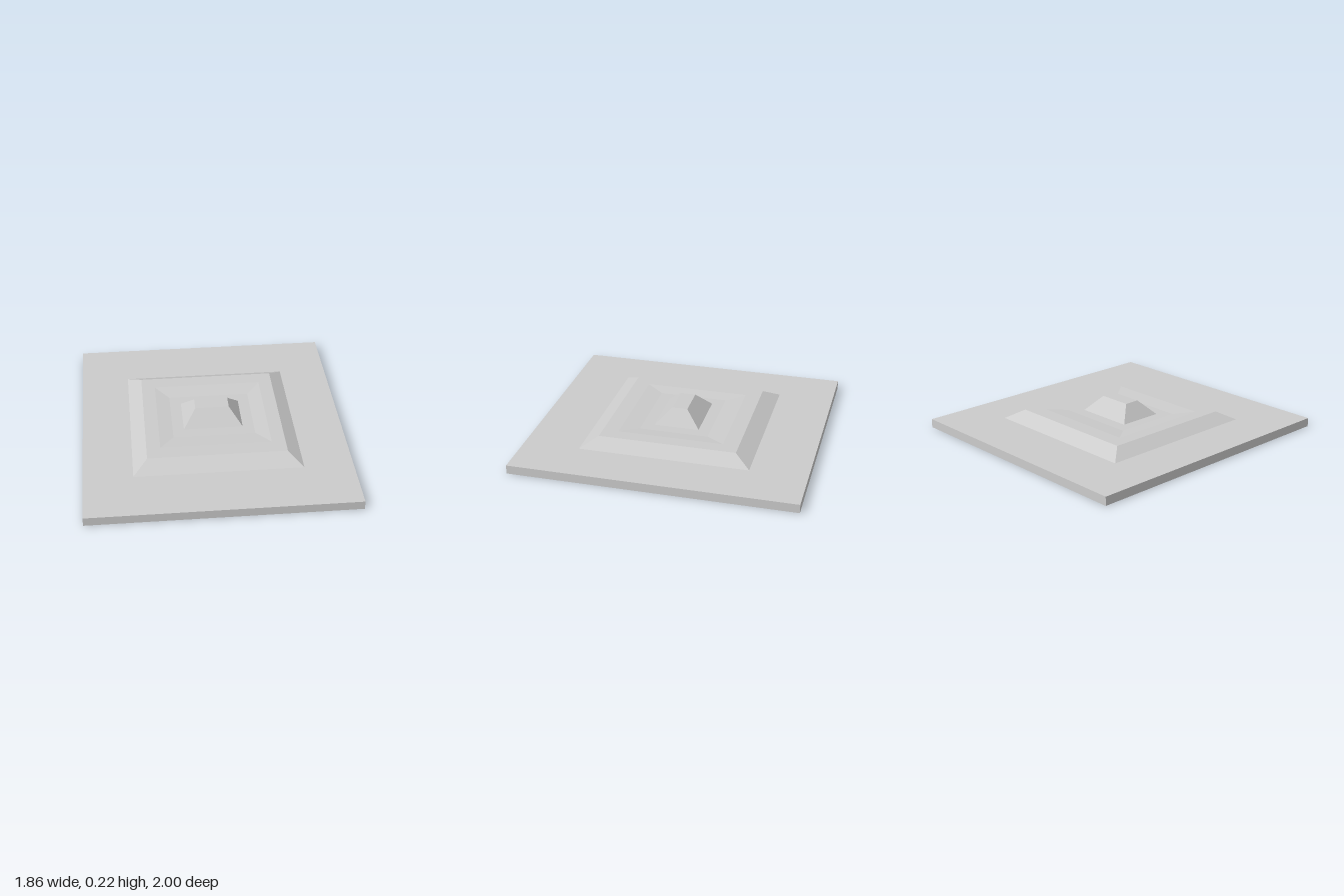
import * as THREE from 'three';

const material = new THREE.MeshStandardMaterial({ color: 0xcccccc, flatShading: true, side: THREE.DoubleSide });

// Skin through nested rectangles [halfWidth, y, halfDepth], capped on the last one
function steppedSkin(name, rings, capUp) {
  const pos = [];
  const index = [];
  for (const [w, y, d] of rings) {
    pos.push(-w, y, d, w, y, d, w, y, -d, -w, y, -d);
  }
  const quad = (a, b, c, d) => {
    if (capUp) index.push(a, b, c, a, c, d);
    else index.push(a, c, b, a, d, c);
  };
  for (let r = 0; r < rings.length - 1; r++) {
    for (let i = 0; i < 4; i++) {
      const j = (i + 1) % 4;
      quad(r * 4 + i, r * 4 + j, r * 4 + 4 + j, r * 4 + 4 + i);
    }
  }
  const e = (rings.length - 1) * 4;
  quad(e, e + 1, e + 2, e + 3);

  const indexed = new THREE.BufferGeometry();
  indexed.setAttribute('position', new THREE.Float32BufferAttribute(pos, 3));
  indexed.setIndex(index);
  const geometry = indexed.toNonIndexed();
  geometry.computeVertexNormals();
  const mesh = new THREE.Mesh(geometry, material);
  mesh.name = name;
  return mesh;
}

export function createModel() {
  const group = new THREE.Group();
  group.name = 'steppedPanel';

  // Slab sides, raised plateau, shallow basin and central block
  group.add(steppedSkin('upperSurface', [
    [0.93, 0, 1],
    [0.93, 0.062, 1],
    [0.587, 0.062, 0.6],
    [0.487, 0.125, 0.487],
    [0.39, 0.125, 0.375],
    [0.29, 0.114, 0.245],
    [0.21, 0.114, 0.16],
    [0.12, 0.22, 0.055],
  ], true));

  // Underside, hollowed to follow the steps above
  group.add(steppedSkin('underside', [
    [0.93, 0, 1],
    [0.61, 0, 0.62],
    [0.54, 0.01, 0.54],
    [0.485, 0.064, 0.485],
    [0.39, 0.064, 0.375],
    [0.29, 0.053, 0.245],
    [0.21, 0.053, 0.15],
    [0.12, 0.155, 0.055],
  ], false));

  return group;
}
